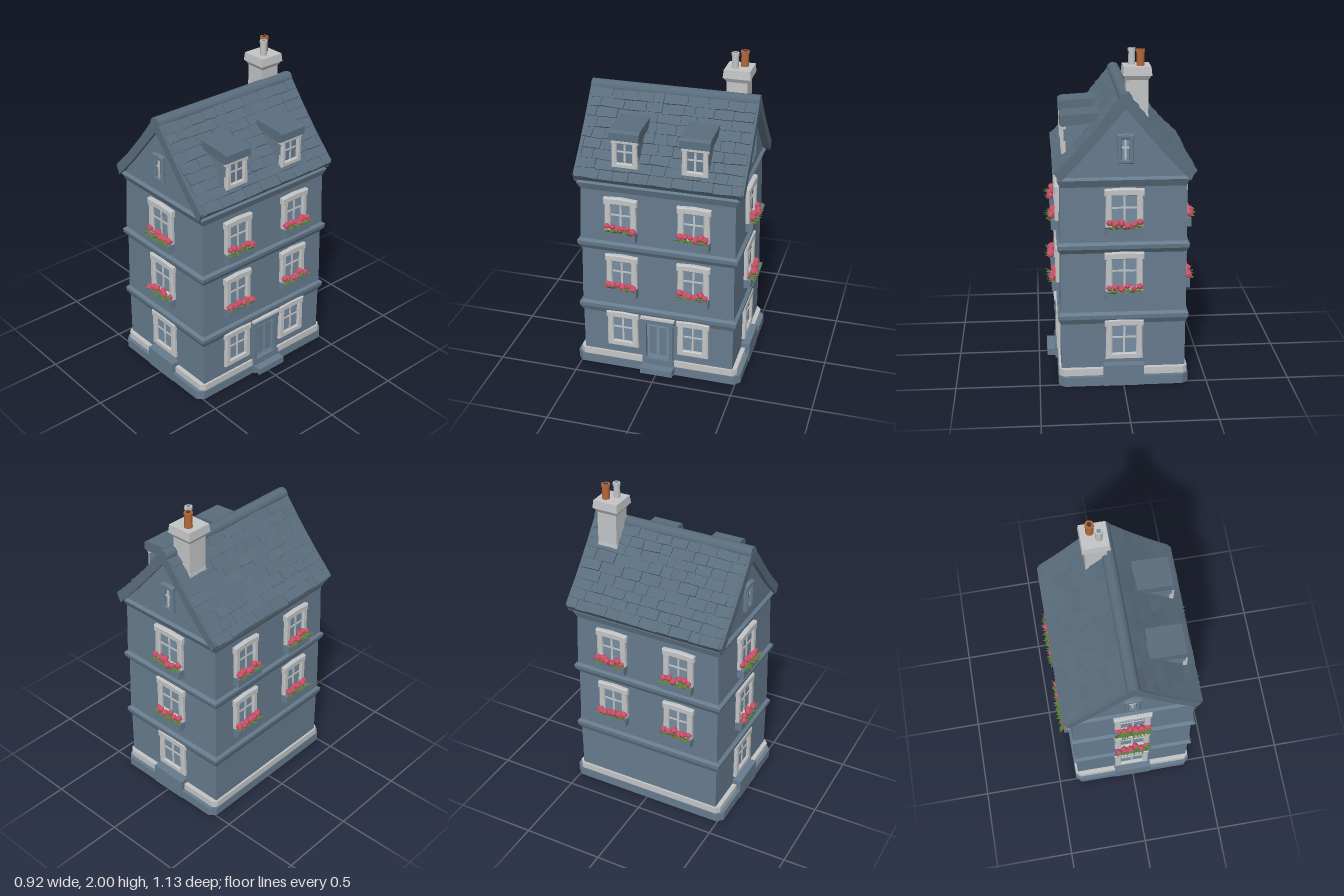
import * as THREE from 'three';

const mat = (name, color, side = THREE.FrontSide) => {
  const m = new THREE.MeshStandardMaterial({ color, side });
  m.name = name;
  return m;
};
const M = {
  wall: mat('blue grey wall', 0x667b8d),
  roof: mat('slate roof', 0x5a6d7d),
  trim: mat('pale stone trim', 0xc3c4c5),
  glass: mat('window glass', 0x768da1),
  pink: mat('pink petals', 0xc94f68),
  leaf: mat('green leaves', 0x5c8036, THREE.DoubleSide),
  clay: mat('terracotta', 0xb5683a),
  dark: mat('chimney pot hole', 0x4a3a34),
};

let seed = 7;
const rnd = () => (seed = (seed * 16807) % 2147483647) / 2147483647;
const vary = a => (rnd() - 0.5) * 2 * a;

function add(parent, name, geo, material, x = 0, y = 0, z = 0) {
  const m = new THREE.Mesh(geo, material);
  m.name = name;
  m.position.set(x, y, z);
  parent.add(m);
  return m;
}
const box = (p, name, material, w, h, d, x, y, z) => add(p, name, new THREE.BoxGeometry(w, h, d), material, x, y, z);
const poly = pts => new THREE.Shape(pts.map(p => new THREE.Vector2(...p)));
const flat = geo => { const g = geo.index ? geo.toNonIndexed() : geo; g.computeVertexNormals(); return g; };

// Window facing +z, centred on its frame
function makeWindow(w, h, frameMat, bar = 0.033) {
  const g = new THREE.Group();
  g.name = 'window';
  const a = w / 2 - 0.006, b = h / 2 - 0.006, e = w * 0.04;
  const s = poly([[-a + e / 2, -b], [a - e / 2, -b], [a - e, b - bar], [a, b - bar * 0.9], [a, b], [0, b + 0.006], [-a, b], [-a, b - bar * 0.9], [-a + e, b - bar]]);
  const i = w / 2 - bar - e * 0.6, j = h / 2 - bar;
  s.holes.push(poly([[-i, -j], [-i, j], [i, j], [i, -j]]));
  add(g, 'windowFrame', new THREE.ExtrudeGeometry(s, { depth: 0.022, bevelSize: 0.006, bevelThickness: 0.006, bevelSegments: 1 }), frameMat, 0, 0, -0.005);
  box(g, 'glassPane', M.glass, i * 2 + 0.012, j * 2 + 0.012, 0.008, 0, 0, 0.002);
  box(g, 'mullion', M.trim, 0.012, j * 2, 0.01, 0, 0, 0.006);
  box(g, 'glazingBar', M.trim, i * 2, 0.01, 0.01, 0, j * 0.15, 0.006);
  return g;
}

// Planter with leaves and blossoms, hung on a wall that faces +z
function makeFlowerBox(w) {
  const g = new THREE.Group();
  g.name = 'flowerBox';
  box(g, 'planter', M.wall, w, 0.055, 0.05, 0, 0, 0.022);
  for (let i = 0; i < 13; i++) {
    const t = i / 12 * 2 - 1;
    const leaf = add(g, 'leaf', flat(new THREE.ConeGeometry(0.017, 0.065, 4)), M.leaf, t * w * 0.45, 0.035 + vary(0.006), 0.052 + vary(0.008));
    leaf.rotation.set(1.3 + vary(0.35), 0, -t * 0.8 + vary(0.35));
    leaf.scale.z = 0.45;
  }
  for (let i = 0; i < 6; i++) {
    const f = add(g, 'blossom', flat(new THREE.IcosahedronGeometry(0.022 + vary(0.004), 0)), M.pink, (i / 5 - 0.5) * w * 0.8, 0.052 + vary(0.012), 0.036 + vary(0.014));
    f.rotation.set(rnd() * 3, rnd() * 3, 0);
  }
  return g;
}

function place(parent, obj, x, y, z, turn) {
  obj.position.set(x, y, z);
  obj.rotation.y = turn;
  parent.add(obj);
}

function makeWalls() {
  const g = new THREE.Group();
  g.name = 'walls';
  // Three storeys with projecting bands: half width, height
  const profile = [[0, 0.02], [0.37, 0.02], [0.37, 0.38], [0.385, 0.415], [0.387, 0.44], [0.372, 0.455], [0.367, 0.82], [0.384, 0.85],
    [0.387, 0.875], [0.372, 0.89], [0.365, 1.22], [0.382, 1.265], [0.37, 1.28], [0, 1.28]];
  const body = new THREE.LatheGeometry(profile.map(([x, y]) => new THREE.Vector2(x * Math.SQRT2, y)), 4, Math.PI / 4);
  body.scale(1, 1, 1.29);
  add(g, 'storeys', flat(body), M.wall);
  const gable = new THREE.ExtrudeGeometry(poly([[-0.365, 1.27], [0.365, 1.27], [0.24, 1.44], [-0.01, 1.72], [-0.25, 1.44]]), { depth: 0.95, bevelEnabled: false });
  add(g, 'gables', gable, M.wall, 0, 0, -0.475);
  // Chamfered plinth with a pale course on top
  const slab = (x, z, c, h) => {
    const geo = new THREE.ExtrudeGeometry(poly([[-x + c, -z], [x - c, -z], [x, -z + c], [x, z - c], [x - c, z], [-x + c, z], [-x, z - c], [-x, -z + c]]), { depth: h, bevelEnabled: false });
    return geo.rotateX(-Math.PI / 2);
  };
  add(g, 'plinth', slab(0.388, 0.528, 0.035, 0.058), M.wall);
  add(g, 'plinthCourse', slab(0.383, 0.505, 0.025, 0.045), M.trim, 0, 0.055, 0);
  for (const s of [1, -1]) box(g, 'gableBlock', M.wall, 0.24, 0.13, 0.06, 0, 0.065, s * 0.502);
  return g;
}

function makeRoof() {
  const g = new THREE.Group();
  g.name = 'roof';
  const slope = [[0.4, 1.305], [0.27, 1.44], [0.14, 1.59], [0.03, 1.73]];
  const cx = -0.008;
  const outer = [...slope, ...slope.slice().reverse().map(([x, y]) => [-x, y])];
  const inner = [[-0.375, 1.27], [-0.24, 1.41], [0, 1.69], [0.24, 1.41], [0.375, 1.27]];
  add(g, 'roofShell', new THREE.ExtrudeGeometry(poly([...outer, ...inner]), { depth: 1.01, bevelEnabled: false }), M.roof, cx, 0, -0.513);
  // Thicker verge boards on both gable ends
  for (const z of [-0.52, 0.485])
    add(g, 'verge', new THREE.ExtrudeGeometry(poly([...outer.map(([x, y]) => [x, y + 0.012]), ...inner.map(([x, y]) => [x, y - 0.008])]), { depth: 0.022, bevelEnabled: false }), M.roof, cx, 0, z);
  // Uneven overlapping slates
  const at = t => {
    const k = Math.min(2, Math.floor(t * 3)), f = t * 3 - k;
    return slope[k].map((v, i) => v + (slope[k + 1][i] - v) * f);
  };
  const rows = 9;
  for (const s of [1, -1]) for (let r = 0; r < rows; r++) {
    const [x0, y0] = at(r / rows), [x1, y1] = at((r + 1) / rows);
    const len = Math.hypot(x1 - x0, y1 - y0), ang = Math.atan2(y1 - y0, x0 - x1);
    for (let z = -0.508; z < 0.48;) {
      const w = Math.min(0.06 + rnd() * 0.09, 0.494 - z);
      const tile = box(g, 'slate', M.roof, len * 1.25, 0.012, w * 0.97, cx + s * (x0 + x1) / 2, (y0 + y1) / 2 + 0.006 + vary(0.003), z + w / 2);
      tile.rotation.set(vary(0.06), vary(0.03), -s * (ang - 0.12 + vary(0.06)));
      z += w;
    }
  }
  const ridge = add(g, 'ridgeRoll', new THREE.CylinderGeometry(0.04, 0.04, 1.025, 10), M.roof, -0.01, 1.732, -0.007);
  ridge.rotation.x = Math.PI / 2;
  return g;
}

function makeDormer(z) {
  const g = new THREE.Group();
  g.name = 'dormer';
  box(g, 'dormerCheeks', M.wall, 0.24, 0.24, 0.155, 0.215, 1.46, 0);
  const lid = poly([[0.11, 1.62], [0.11, 1.57], [0.34, 1.54], [0.357, 1.55], [0.354, 1.595], [0.335, 1.607]]);
  add(g, 'dormerRoof', new THREE.ExtrudeGeometry(lid, { depth: 0.185, bevelEnabled: false }), M.roof, 0, 0, -0.0925);
  place(g, makeWindow(0.165, 0.185, M.trim, 0.026), 0.328, 1.465, 0, Math.PI / 2);
  g.position.z = z;
  return g;
}

function makeDoor() {
  const g = new THREE.Group();
  g.name = 'doorway';
  box(g, 'doorLeaf', M.glass, 0.014, 0.29, 0.14, 0.37, 0.205, -0.005);
  for (const s of [1, -1]) {
    box(g, 'doorJamb', M.wall, 0.04, 0.33, 0.025, 0.375, 0.21, s * 0.085 - 0.005);
    box(g, 'doorPanel', M.wall, 0.008, 0.2, 0.045, 0.376, 0.23, s * 0.032 - 0.005);
  }
  box(g, 'doorLintel', M.wall, 0.05, 0.03, 0.21, 0.375, 0.375, -0.005);
  box(g, 'lintelCap', M.trim, 0.055, 0.014, 0.215, 0.375, 0.396, -0.005);
  box(g, 'doorStep', M.wall, 0.13, 0.042, 0.205, 0.385, 0.041, -0.01);
  box(g, 'threshold', M.wall, 0.06, 0.105, 0.2, 0.37, 0.053, -0.01);
  return g;
}

function makeChimney() {
  const g = new THREE.Group();
  g.name = 'chimney';
  const stack = (name, top, bottom, h, y, m = M.trim) => {
    const geo = new THREE.CylinderGeometry(top * Math.SQRT1_2, bottom * Math.SQRT1_2, h, 4, 1).rotateY(Math.PI / 4);
    return add(g, name, flat(geo), m, 0, y, 0);
  };
  stack('stack', 0.125, 0.125, 0.32, 1.7);
  stack('stackFoot', 0.125, 0.15, 0.12, 1.58);
  stack('collar', 0.16, 0.125, 0.03, 1.845);
  stack('cap', 0.155, 0.165, 0.05, 1.882);
  // Two pots, one clay and one pale
  for (const [m, x, z, r] of [[M.clay, -0.02, -0.025, 0.024], [M.trim, 0.025, 0.022, 0.021]]) {
    add(g, 'pot', new THREE.CylinderGeometry(r * 0.92, r, 0.1, 10), m, x, 1.945, z);
    add(g, 'potRim', new THREE.CylinderGeometry(r * 1.1, r * 1.1, 0.018, 10), m, x, 1.99, z);
    add(g, 'potHole', new THREE.CylinderGeometry(r * 0.6, r * 0.6, 0.003, 10), m === M.clay ? M.dark : M.glass, x, 1.999, z);
  }
  g.position.set(-0.08, 0, -0.375);
  return g;
}

export function createModel() {
  const house = new THREE.Group();
  house.name = 'townhouse';
  house.add(makeWalls(), makeRoof(), makeDormer(0.2), makeDormer(-0.222), makeDoor(), makeChimney());
  // Gable ends: three windows and an attic light each
  for (const s of [1, -1]) {
    const turn = s > 0 ? 0 : Math.PI, z = s * 0.476;
    [0.28, 0.7, 1.085].forEach((y, floor) => {
      place(house, makeWindow(0.232, 0.25, M.trim), -0.005, y, z, turn);
      if (floor) place(house, makeFlowerBox(0.225), -0.005, [0, 0.563, 0.957][floor], z, turn);
    });
    place(house, makeWindow(0.1, 0.17, M.wall, 0.02), -0.01, 1.445, z, turn);
  }
  // Long sides: the left ground floor is blank
  for (const s of [1, -1]) for (const z of [0.22, -0.228]) {
    const turn = s * Math.PI / 2, x = s * 0.37;
    [0.28, 0.68, 1.065].forEach((y, floor) => {
      if (s < 0 && !floor) return;
      place(house, makeWindow(0.208, 0.245, M.trim), x, y, z, turn);
      if (floor) place(house, makeFlowerBox(0.2), x, [0, 0.563, 0.95][floor], z, turn);
    });
  }
  return house;
}
